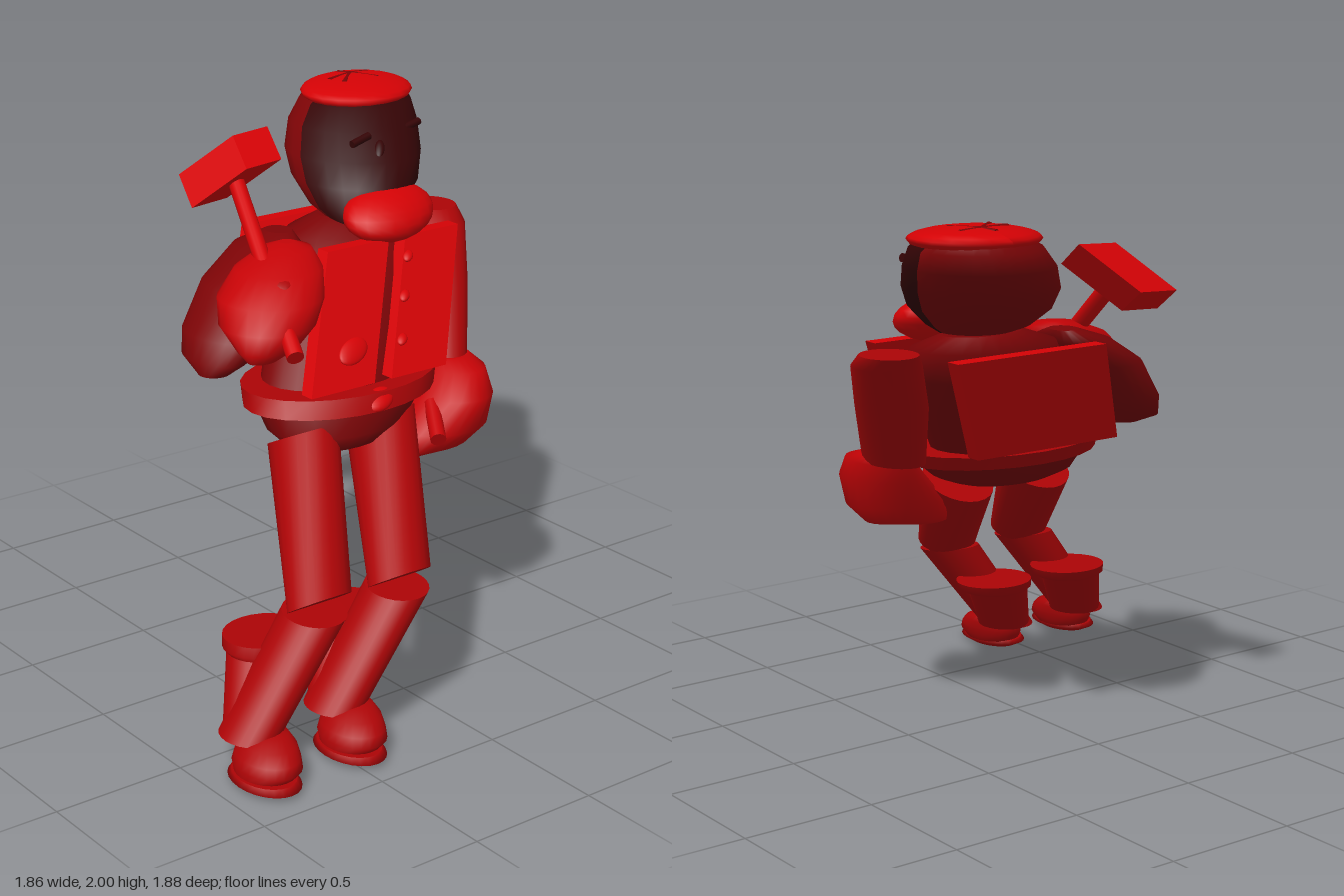
import * as THREE from 'three';

function flat(name, color) {
  const m = new THREE.MeshStandardMaterial({ color });
  m.name = name;
  return m;
}
const red = flat('bright red', 0xd40205);
const glove = flat('mitten red', 0xc40306);
const mid = flat('trouser red', 0xac0406);
const deep = flat('jacket deep red', 0x7c0406);
const dark = flat('dark maroon', 0x340405);

const KX = 0.75, KZ = 0.72; // lean of the whole figure per unit of height

export function createModel() {
  const model = new THREE.Group();

  function add(name, geometry, material = red) {
    const mesh = new THREE.Mesh(geometry, material);
    mesh.name = name;
    model.add(mesh);
    return mesh;
  }

  // Skin over ellipses listed from bottom to top: [y, centreX, centreZ, radiusX, radiusZ, tilt]
  function loft(name, rings, { material = red, from = 0, arc = Math.PI * 2, n = 24, dz = 0 } = {}) {
    const pos = [], idx = [];
    const full = arc > 6.28;
    const cols = full ? n : n + 1;
    const ring = ([y, cx, cz, rx, rz, tilt = 0]) => {
      for (let j = 0; j < cols; j++) {
        const a = from + (arc * j) / n, c = Math.cos(a) * rx;
        pos.push(cx + c, y + tilt * c, cz + dz + Math.sin(a) * rz);
      }
    };
    rings.forEach(ring);
    for (let i = 0; i < rings.length - 1; i++) {
      for (let j = 0; j < n; j++) {
        const k = (j + 1) % cols, a = i * cols, b = a + cols;
        idx.push(a + j, b + j, a + k, a + k, b + j, b + k);
      }
    }
    // flat end caps with their own corners
    [rings[0], rings[rings.length - 1]].forEach((r, end) => {
      const start = pos.length / 3;
      ring(r);
      const centre = pos.length / 3;
      pos.push(r[1], r[0], r[2] + dz);
      pos.splice(centre * 3, 3, r[1], r[0], r[2] + dz);
      for (let j = 0; j < n; j++) {
        const k = (j + 1) % cols;
        if (end) idx.push(centre, start + k, start + j);
        else idx.push(centre, start + j, start + k);
      }
    });
    const g = new THREE.BufferGeometry();
    g.setAttribute('position', new THREE.Float32BufferAttribute(pos, 3));
    g.setIndex(idx);
    g.computeVertexNormals();
    return add(name, g, material);
  }

  function lean(g, kx, kz) {
    const p = g.attributes.position;
    for (let i = 0; i < p.count; i++) {
      const y = p.getY(i);
      p.setXYZ(i, p.getX(i) - kx * y, y, p.getZ(i) - kz * y);
    }
    g.computeVertexNormals();
    return g;
  }

  // Leaning ellipsoid
  function ball(name, x, y, z, rx, ry, rz, material = red, kx = KX, kz = KZ) {
    const g = new THREE.SphereGeometry(1, 20, 12).scale(rx, ry, rz);
    return add(name, lean(g, kx, kz).translate(x, y, z), material);
  }

  // Leaning board, with x and z given at its bottom edge
  function board(name, y0, y1, x0, x1, z0, z1) {
    const g = new THREE.BoxGeometry(x1 - x0, y1 - y0, z1 - z0);
    g.translate((x0 + x1) / 2, (y1 - y0) / 2, (z0 + z1) / 2);
    return add(name, lean(g, 0.72, KZ).translate(0, y0, 0));
  }

  function rod(name, a, b, r, material = red) {
    const path = new THREE.LineCurve3(new THREE.Vector3(...a), new THREE.Vector3(...b));
    const d = path.v2.clone().sub(path.v1);
    const g = new THREE.CylinderGeometry(r, r, d.length(), 14);
    g.applyQuaternion(new THREE.Quaternion().setFromUnitVectors(new THREE.Vector3(0, 1, 0), d.normalize()));
    const m = path.getPoint(0.5);
    return add(name, g.translate(m.x, m.y, m.z), material);
  }

  // Legs and boots, the second set shifted sideways
  for (const [side, dz] of [['right', 0], ['left', -0.37]]) {
    const o = { dz, material: mid };
    loft(side + 'Sole', [[0, 0.76, 0.825, 0.12, 0.08], [0.018, 0.76, 0.825, 0.16, 0.11], [0.035, 0.75, 0.82, 0.14, 0.1]], o);
    loft(side + 'Foot', [[0.03, 0.74, 0.81, 0.12, 0.1], [0.06, 0.74, 0.8, 0.145, 0.11], [0.09, 0.73, 0.79, 0.135, 0.105],
      [0.12, 0.71, 0.77, 0.11, 0.09], [0.145, 0.69, 0.75, 0.07, 0.06], [0.155, 0.68, 0.74, 0.02, 0.02]], o);
    loft(side + 'Shin', [[0.12, 0.62, 0.79, 0.12, 0.1], [0.495, 0.6, 0.49, 0.12, 0.115, -0.12]], o);
    loft(side + 'BootBack', [[0.12, 0.61, 0.77, 0.11, 0.1], [0.34, 0.44, 0.61, 0.12, 0.12]], o);
    loft(side + 'BootCuff', [[0.33, 0.45, 0.61, 0.12, 0.13], [0.345, 0.44, 0.6, 0.13, 0.15], [0.38, 0.43, 0.585, 0.14, 0.155]], o);
    loft(side + 'Thigh', [[0.525, 0.61, 0.475, 0.075, 0.13, 0.64], [0.92, 0.08, 0.15, 0.125, 0.135, 0.5]],
      { dz: dz * 0.97, material: mid });
  }

  // Hips, belt and torso
  loft('hips', [[0.87, 0.13, 0.03, 0.06, 0.12], [0.89, 0.11, 0.02, 0.14, 0.21], [0.94, 0.06, -0.02, 0.21, 0.29],
    [1.03, 0, -0.08, 0.25, 0.36]], { material: deep });
  loft('belt', [[1.02, 0.01, -0.07, 0.27, 0.4], [1.08, -0.03, -0.1, 0.28, 0.41]], { material: mid });
  loft('torso', [[1.08, -0.06, -0.1, 0.22, 0.3], [1.25, -0.18, -0.23, 0.23, 0.3], [1.4, -0.29, -0.34, 0.23, 0.3],
    [1.52, -0.37, -0.42, 0.2, 0.28], [1.57, -0.4, -0.45, 0.1, 0.16]], { material: deep });
  loft('neck', [[1.5, -0.32, -0.42, 0.1, 0.12], [1.62, -0.4, -0.48, 0.1, 0.12]], { material: deep });
  ball('beltBuckle', 0.24, 1.05, -0.08, 0.035, 0.035, 0.06);

  // Waistcoat
  board('vestFrontRight', 1.1, 1.525, 0.14, 0.2, -0.09, 0.2);
  board('vestFrontLeft', 1.1, 1.525, 0.14, 0.2, -0.43, -0.17);
  board('vestBack', 1.1, 1.525, -0.35, -0.29, -0.43, 0.2);
  const frontX = (y) => 0.2 - 0.72 * (y - 1.1);
  for (const [y, z] of [[1.46, -0.45], [1.34, -0.365], [1.21, -0.28]]) ball('button', frontX(y), y, z, 0.018, 0.018, 0.022);
  ball('pocket', frontX(1.21), 1.21, -0.05, 0.02, 0.04, 0.065);

  // Lowered left arm and mitten
  loft('leftMitten', [[0.76, 0.15, -0.3, 0.05, 0.08], [0.79, 0.16, -0.39, 0.11, 0.17], [0.86, 0.16, -0.44, 0.16, 0.19],
    [0.97, 0.14, -0.51, 0.17, 0.15], [1.05, 0.08, -0.56, 0.15, 0.11], [1.08, 0.04, -0.57, 0.09, 0.08]], { material: glove });
  loft('leftArm', [[1.05, 0, -0.55, 0.14, 0.1], [1.3, -0.18, -0.68, 0.15, 0.12], [1.48, -0.33, -0.8, 0.13, 0.12],
    [1.53, -0.39, -0.83, 0.11, 0.1]], { material: mid });
  rod('leftThumb', [0.18, 0.95, -0.38], [0.33, 0.87, -0.29], 0.03, glove);

  // Raised right arm and mitten
  loft('rightArm', [[1.12, -0.2, 0.35, 0.06, 0.06], [1.17, -0.24, 0.32, 0.16, 0.1], [1.25, -0.27, 0.24, 0.2, 0.15],
    [1.4, -0.32, 0.1, 0.2, 0.17], [1.5, -0.37, -0.03, 0.17, 0.12], [1.545, -0.41, -0.1, 0.06, 0.05]], { material: deep });
  loft('rightMitten', [[1.21, 0.01, 0.28, 0.04, 0.06], [1.25, 0, 0.25, 0.09, 0.12], [1.32, -0.07, 0.2, 0.18, 0.18],
    [1.4, -0.13, 0.14, 0.2, 0.2], [1.48, -0.19, 0.06, 0.16, 0.17], [1.53, -0.24, -0.01, 0.09, 0.1],
    [1.545, -0.26, -0.03, 0.03, 0.03]], { material: glove });
  ball('mittenPatch', -0.08, 1.455, 0.14, 0.07, 0.035, 0.06, mid);

  // Hammer
  rod('hammerHandle', [-0.6, 1.73, -0.03], [0.17, 1.26, 0.25], 0.032);
  const skew = new THREE.Matrix4().makeBasis(new THREE.Vector3(0.16, -0.09, 0.05),
    new THREE.Vector3(0.01, -0.01, 0.17), new THREE.Vector3(-0.15, -0.16, 0.15)).setPosition(-0.64, 1.75, -0.04);
  const hammer = new THREE.BoxGeometry(1, 1, 1).applyMatrix4(skew);
  hammer.computeVertexNormals();
  add('hammerHead', hammer);

  // Head: dark face in front, deep red hood behind
  const head = [[1.54, -0.31, -0.42, 0.08, 0.1], [1.6, -0.39, -0.46, 0.19, 0.18], [1.68, -0.48, -0.52, 0.27, 0.235],
    [1.76, -0.57, -0.58, 0.29, 0.255], [1.85, -0.66, -0.65, 0.265, 0.25], [1.92, -0.71, -0.7, 0.225, 0.22],
    [1.96, -0.73, -0.72, 0.16, 0.16]];
  loft('face', head, { material: dark, from: -Math.PI / 2, arc: Math.PI, n: 14 });
  loft('hood', head, { material: deep, from: Math.PI / 2, arc: Math.PI, n: 14 });
  ball('beard', -0.21, 1.595, -0.475, 0.125, 0.095, 0.2, red, 0.65, 0.45);
  ball('nose', -0.29, 1.72, -0.53, 0.035, 0.04, 0.035, dark);
  for (const [z, y, x] of [[-0.54, 1.8, -0.35], [-0.72, 1.79, -0.38]]) ball('eye', x, y, z, 0.02, 0.03, 0.02, dark);
  rod('rightEyebrow', [-0.38, 1.83, -0.43], [-0.39, 1.85, -0.52], 0.015, dark);
  rod('leftEyebrow', [-0.42, 1.84, -0.7], [-0.43, 1.86, -0.8], 0.015, dark);

  // Cap with a fan of creases on its crown
  ball('cap', -0.715, 1.95, -0.71, 0.212, 0.048, 0.23, red, 0.9, 0.8);
  for (const [x, z] of [[-0.86, -0.73], [-0.8, -0.83], [-0.69, -0.8], [-0.7, -0.64], [-0.77, -0.62]]) {
    rod('capCrease', [-0.8, 1.986, -0.745], [x, 1.982, z], 0.014, deep);
  }
  return model;
}
